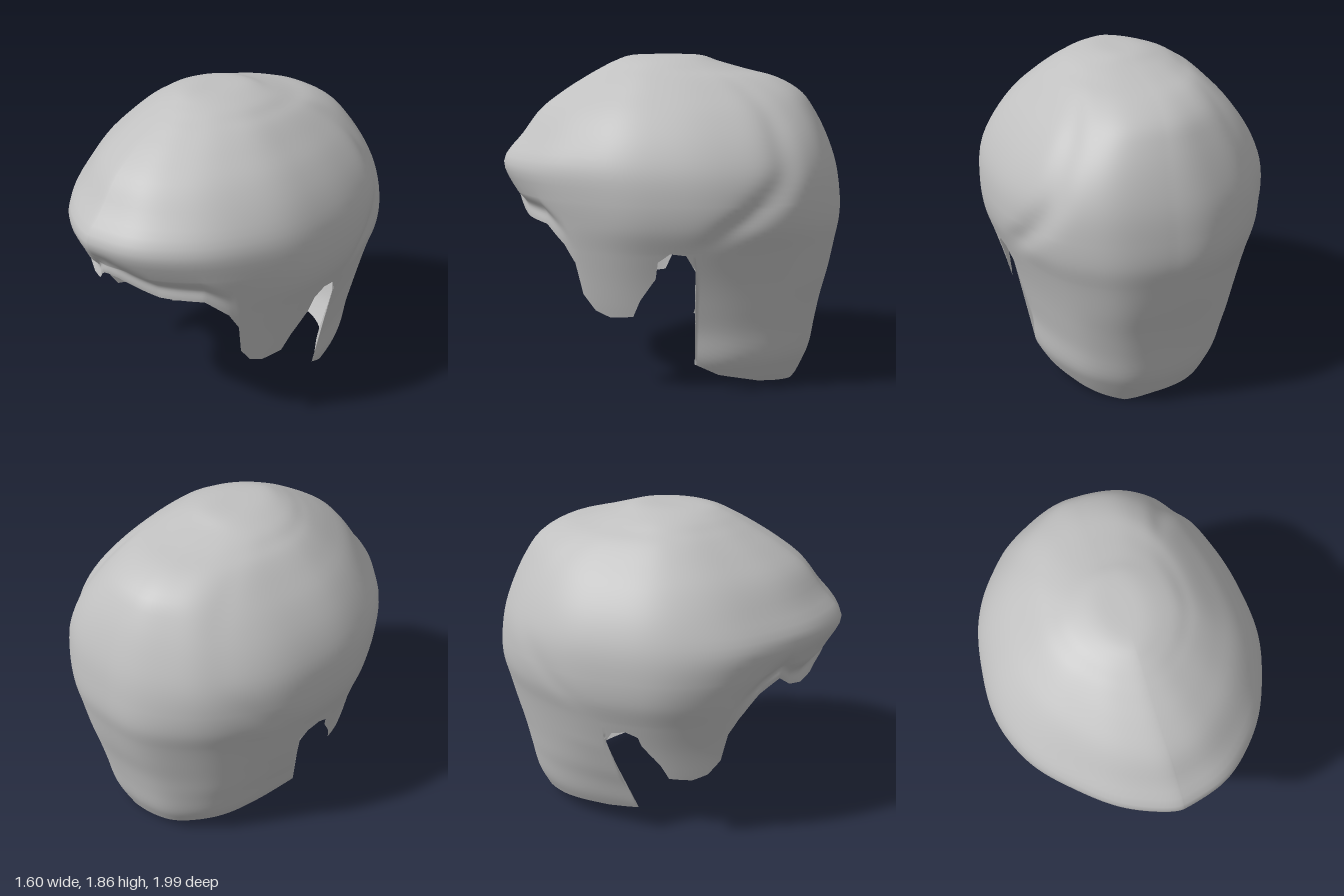
import * as THREE from 'three';
import { mergeVertices } from 'three/addons/utils/BufferGeometryUtils.js';

// Horizontal sections from crown to nape: height, front reach, back reach, half width
const SECTIONS = [
  [1.86, 0, 0, 0], [1.855, 0.22, 0.17, 0.14], [1.82, 0.33, 0.28, 0.27], [1.775, 0.42, 0.44, 0.35],
  [1.73, 0.5, 0.61, 0.42], [1.65, 0.63, 0.75, 0.51], [1.54, 0.775, 0.835, 0.62], [1.4, 0.885, 0.91, 0.72],
  [1.25, 1.0, 0.965, 0.785], [1.1, 0.94, 0.99, 0.802], [0.95, 0.87, 0.995, 0.787], [0.8, 0.865, 0.967, 0.738],
  [0.65, 0.86, 0.937, 0.693], [0.5, 0.86, 0.9, 0.655], [0.35, 0.86, 0.87, 0.62], [0.2, 0.86, 0.84, 0.605],
  [0.1, 0.86, 0.8, 0.565], [-0.02, 0.86, 0.74, 0.5],
];

// Hem as [degrees from the front, height]; the fringe and nape differ left and right
const SIDE = [[59, 0.73], [62, 0.55], [67, 0.46], [73, 0.425], [82, 0.44], [85, 0.54], [91, 0.67]];
const LEFT = [[0, 1.02], [4, 1.03], [10, 1.02], [19, 0.98], [27, 0.945], [44, 0.93], [49, 0.88], [54, 0.83],
  ...SIDE, [92, 0.77], [96, 0.82], [101, 0.81], [104, 0.72], [105, 0.17],
  [115, 0.1], [136, 0.04], [165, 0.0], [180, 0.05]];
const RIGHT = [[0, 1.02], [6, 0.99], [13, 0.92], [22, 0.9], [30, 0.93], [38, 1.01], [46, 0.95], [51, 0.88], [55, 0.82],
  ...SIDE, [92, 0.73], [96, 0.76], [101, 0.74], [104, 0.66], [105, 0.17],
  [115, 0.13], [140, 0.1], [160, 0.07], [180, 0.05]];

function lookup(table, a) {
  let i = 0;
  while (i < table.length - 2 && a > table[i + 1][0]) i++;
  const [a0, v0] = table[i], [a1, v1] = table[i + 1];
  return v0 + (v1 - v0) * (a - a0) / (a1 - a0);
}

const bell = (d, w) => Math.exp(-(d * d) / (w * w));
const step = THREE.MathUtils.smoothstep;

const reach = new THREE.CatmullRomCurve3(
  SECTIONS.map(([y, f, b]) => new THREE.Vector3(f, y, b)), false, 'catmullrom', 0.5);
const width = new THREE.CatmullRomCurve3(
  SECTIONS.map(([y, , , w]) => new THREE.Vector3(w, y, 0)), false, 'catmullrom', 0.5);

// Curve parameter at which the section height equals y
function paramAt(y) {
  let lo = 0, hi = 1;
  for (let i = 0; i < 24; i++) {
    const mid = (lo + hi) / 2;
    if (reach.getPoint(mid).y > y) lo = mid; else hi = mid;
  }
  return lo;
}

function surfacePoint(deg, t, hem) {
  const r = reach.getPoint(t);
  const y = r.y, w = width.getPoint(t).x;
  const side = Math.sign(deg), a = Math.abs(deg), rad = a * Math.PI / 180;
  const c = Math.cos(rad), s = Math.max(0, Math.sin(rad));
  // Egg-shaped outline: narrow at the fringe, full at the back, fuller on the left
  const [front, back] = side > 0 ? [1.16, 0.76] : [1.32, 0.95];
  const power = THREE.MathUtils.lerp(back, front, 0.5 + 0.5 * Math.tanh(c * 3));
  let x = side * w * Math.pow(s, power);
  let z = c > 0 ? r.x * c : r.z * c;

  // Tuck under the fringe, following the wavy hem
  const fringe = 1 - step(a, 38, 62);
  let k = 1 - 0.03 * fringe * bell(y - hem - 0.07, 0.045);
  // Curved furrow between the top hair and the back hair, deeper on the left
  const furrow = 108 + 29 * step(y, 0.75, 1.3) - 8 * step(y, 1.5, 1.75);
  const depth = side > 0 ? 0.026 : 0.006;
  k -= depth * bell(a - furrow, 7) * step(y, 0.8, 1.0) * (1 - step(y, 1.65, 1.8));
  // Soft uneven locks
  const turn = rad * side;
  const locks = Math.sin(turn * 7 + y * 3) + Math.sin(turn * 4 - y * 7 + 1) + 0.6 * Math.sin(turn * 13 + y * 2);
  k += 0.004 * locks * (1 - step(y, 1.75, 1.86));
  x *= k;
  z *= k;
  // Fringe and back lean slightly to the left
  x += 0.03 * c * c * (1 - step(y, 1.3, 1.8));
  // Right nape corner sweeps forward behind the ear and tucks inward
  if (side < 0) {
    z += 0.14 * THREE.MathUtils.clamp((0.62 - y) / 0.45, 0, 1) * bell(a - 104, 14);
    x *= 1 - 0.09 * (1 - step(y, 0.08, 0.45));
  }
  return [x, y, z];
}

function hairGeometry() {
  const columns = 360, positions = [], index = [];
  // Three bands of rows: crown, ear level, and down to the hem
  const bands = [34, 12, 22];
  const levels = [];
  const crownEnd = paramAt(1.08), earEnd = paramAt(0.82);
  for (let i = 0; i < columns; i++) {
    const deg = i - 180;
    const hem = lookup(deg < 0 ? RIGHT : LEFT, Math.abs(deg));
    const end = paramAt(hem);
    const stops = [0, crownEnd, Math.min(earEnd, end), end];
    const ts = [0];
    bands.forEach((n, b) => {
      for (let j = 1; j <= n; j++) ts.push(THREE.MathUtils.lerp(stops[b], stops[b + 1], j / n));
    });
    levels.push({ deg, hem, ts });
  }
  const rows = levels[0].ts.length - 1;
  for (let j = 0; j <= rows; j++) {
    levels.forEach(({ deg, hem, ts }, i) => {
      positions.push(...surfacePoint(deg, ts[j], hem));
      if (j === rows) return;
      const n = (i + 1) % columns;
      const p = j * columns + i, q = j * columns + n;
      if (j > 0) index.push(p, q + columns, q);
      index.push(p, p + columns, q + columns);
    });
  }
  const geometry = new THREE.BufferGeometry();
  geometry.setAttribute('position', new THREE.Float32BufferAttribute(positions, 3));
  geometry.setIndex(index);
  const merged = mergeVertices(geometry, 1e-5);
  // Drop triangles that collapsed where the hem ends above ear level
  const ids = merged.index.array, kept = [];
  for (let i = 0; i < ids.length; i += 3) {
    const [a, b, c] = [ids[i], ids[i + 1], ids[i + 2]];
    if (a !== b && b !== c && c !== a) kept.push(a, b, c);
  }
  merged.setIndex(kept);
  merged.computeVertexNormals();
  return merged;
}

export function createModel() {
  const group = new THREE.Group();
  group.name = 'hairpiece';
  const hairGrey = new THREE.MeshStandardMaterial({ color: 0xc0c0c0, side: THREE.DoubleSide });
  hairGrey.name = 'hairGrey';

  // Open shell of hair with fringe, sideburns, ear notches and nape
  const hair = new THREE.Mesh(hairGeometry(), hairGrey);
  hair.name = 'hairShell';
  group.add(hair);
  return group;
}
